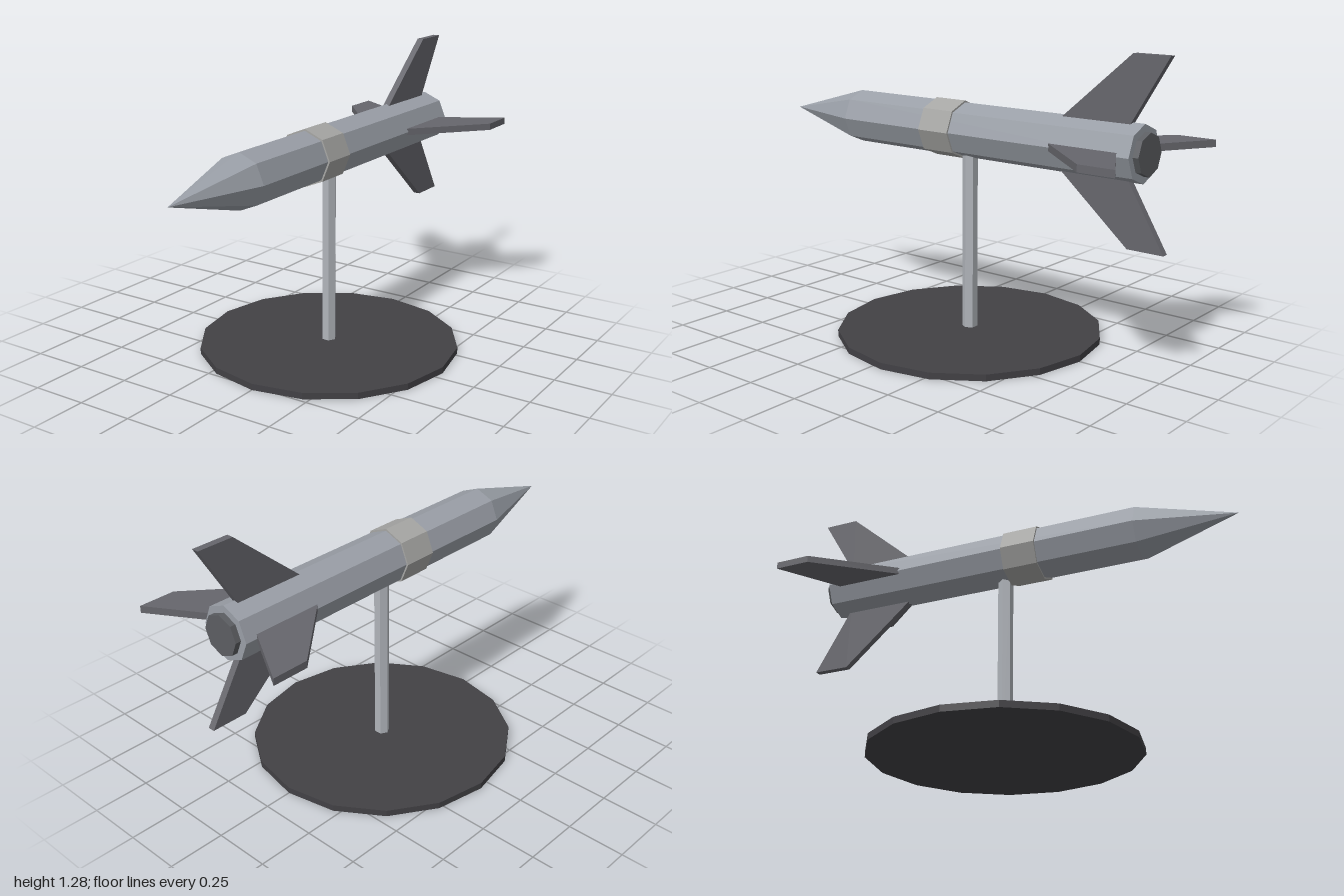
import * as THREE from 'three';

const AXIS_Y = 0.9; // height of the rocket's centre line
const POST_Z = -0.05;

const paint = (color) => new THREE.MeshStandardMaterial({ color, flatShading: true });

function addMesh(parent, name, geometry, material) {
  const mesh = new THREE.Mesh(geometry, material);
  mesh.name = name;
  parent.add(mesh);
  return mesh;
}

// Eight-sided section along z, from zBack to zFront
function section(rFront, rBack, zFront, zBack) {
  return new THREE.CylinderGeometry(rFront, rBack, zFront - zBack, 8)
    .rotateX(Math.PI / 2)
    .translate(0, 0, (zFront + zBack) / 2);
}

export function createModel() {
  const model = new THREE.Group();
  model.name = 'rocketOnStand';

  const hull = paint(0x9a9fa7);
  const finPaint = paint(0x66666c);

  // Rocket, lying along z with its nose at +z
  const rocket = new THREE.Group();
  rocket.name = 'rocket';
  rocket.position.y = AXIS_Y;
  model.add(rocket);

  addMesh(rocket, 'body', section(0.117, 0.117, 0.58, -0.895), hull);
  const nose = new THREE.ConeGeometry(0.117, 0.42, 8).rotateX(Math.PI / 2).translate(0, 0, 0.79);
  addMesh(rocket, 'noseCone', nose, hull);
  addMesh(rocket, 'band', section(0.125, 0.125, 0.135, -0.022), paint(0xa6a6a4));
  addMesh(rocket, 'nozzle', section(0.087, 0.087, -0.88, -0.92), paint(0x5c5e62));

  // Four swept fins, drawn as (distance back, radius); roots sink into the body
  const finShape = new THREE.Shape([
    new THREE.Vector2(0.515, 0.1),
    new THREE.Vector2(0.84, 0.38),
    new THREE.Vector2(1.0, 0.38),
    new THREE.Vector2(0.832, 0.1),
  ]);
  const finGeometry = new THREE.ExtrudeGeometry(finShape, { depth: 0.03, bevelEnabled: false })
    .translate(0, 0, -0.015)
    .rotateY(Math.PI / 2);
  ['topFin', 'rightFin', 'bottomFin', 'leftFin'].forEach((name, i) => {
    addMesh(rocket, name, finGeometry, finPaint).rotation.z = (i * Math.PI) / 2;
  });

  // Display stand
  const postGeometry = new THREE.CylinderGeometry(0.033, 0.033, 0.81, 6).rotateY(Math.PI / 6);
  addMesh(model, 'post', postGeometry, paint(0xb0b4ba)).position.set(0, 0.415, POST_Z);
  const baseGeometry = new THREE.CylinderGeometry(0.578, 0.578, 0.028, 16);
  addMesh(model, 'base', baseGeometry, paint(0x424145)).position.set(0, 0.014, POST_Z);

  return model;
}
